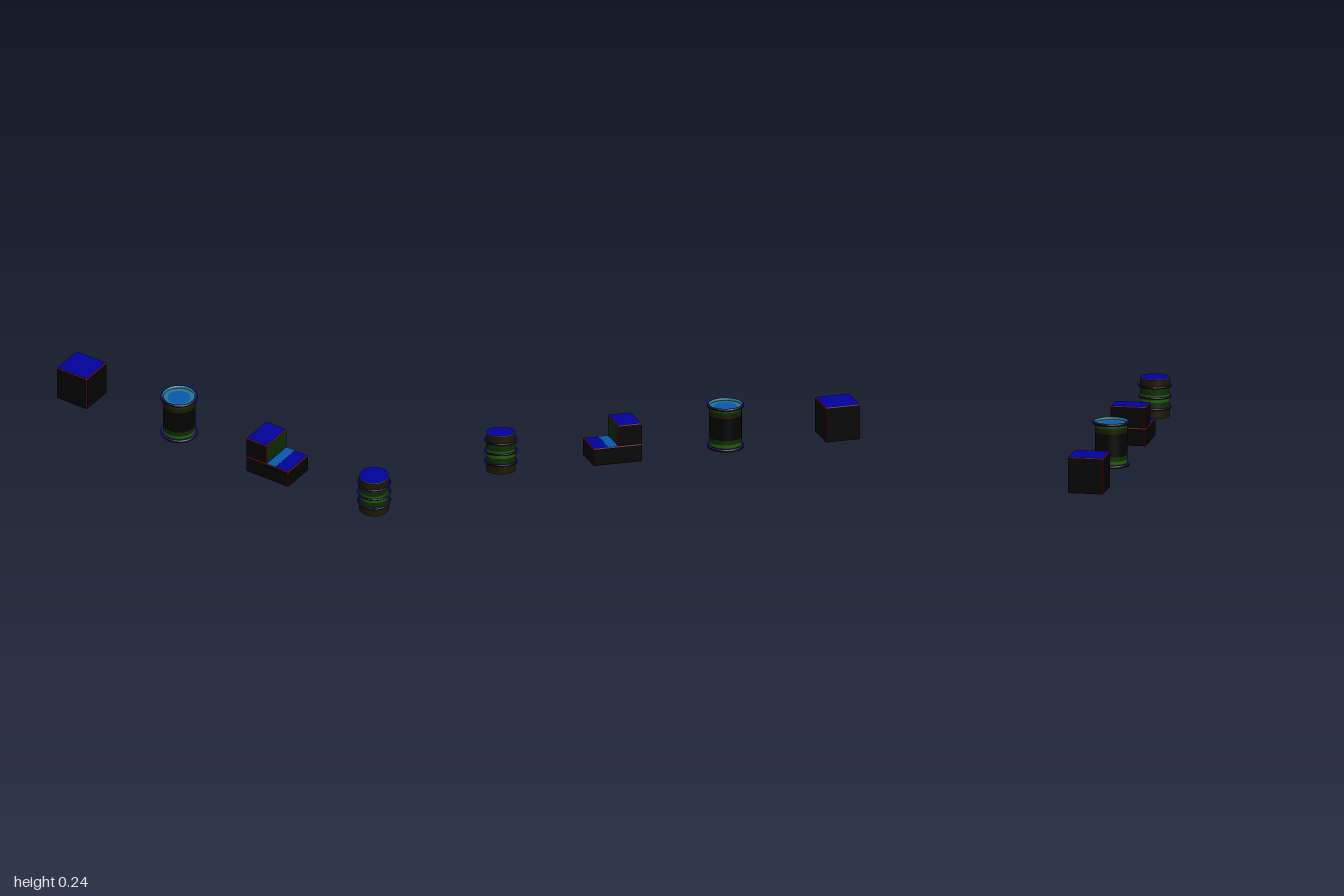
import * as THREE from 'three';
import { ConvexGeometry } from 'three/addons/geometries/ConvexGeometry.js';

function makeMaterial(name, color) {
  const m = new THREE.MeshStandardMaterial({ color });
  m.name = name;
  return m;
}

export function createModel() {
  const black = makeMaterial('black', 0x020202);
  const blue = makeMaterial('deep blue', 0x02029a);
  const lightBlue = makeMaterial('light blue', 0x0858ac);
  const teal = makeMaterial('teal', 0x2a7888);
  const darkGreen = makeMaterial('dark green', 0x0a2a04);
  const green = makeMaterial('green', 0x1e5a04);
  const brown = makeMaterial('olive brown', 0x1e1602);
  const red = makeMaterial('red', 0x8c0202);

  const model = new THREE.Group();
  function makeGroup(name, x) {
    const g = new THREE.Group();
    g.name = name;
    g.position.x = x;
    model.add(g);
    return g;
  }

  // Chamfered box: flat faces, blue top, red bevels
  function crate(parent, name, size, position, rightFace = black) {
    const b = 0.004;
    const half = size.map((s) => s / 2);
    const points = [];
    for (const sx of [-1, 1]) for (const sy of [-1, 1]) for (const sz of [-1, 1]) {
      for (let axis = 0; axis < 3; axis++) {
        const p = [sx, sy, sz].map((s, i) => s * (half[i] - (i === axis ? 0 : b)));
        points.push(new THREE.Vector3(...p));
      }
    }
    const geometry = new ConvexGeometry(points);
    const n = geometry.attributes.normal;
    for (let i = 0; i < n.count; i += 3) {
      let slot = 0;
      if (n.getY(i) > 0.95) slot = 1;
      else if (n.getX(i) > 0.95) slot = 2;
      else if (Math.max(Math.abs(n.getX(i)), Math.abs(n.getY(i)), Math.abs(n.getZ(i))) < 0.95) slot = 3;
      geometry.addGroup(i, 3, slot);
    }
    const mesh = new THREE.Mesh(geometry, [black, blue, rightFace, red]);
    mesh.name = name;
    mesh.position.set(...position);
    parent.add(mesh);
  }

  // Surface of revolution from [radius, height] pairs
  function turned(parent, name, profile, material) {
    const points = profile.map(([r, y]) => new THREE.Vector2(r, y));
    const mesh = new THREE.Mesh(new THREE.LatheGeometry(points, 48), material);
    mesh.name = name;
    parent.add(mesh);
  }

  // Part of a round hoop, between two angles of its section
  function hoop(parent, name, radius, y, tube, from, to, material) {
    const profile = [];
    for (let i = 0; i <= 6; i++) {
      const a = THREE.MathUtils.degToRad(from + ((to - from) * i) / 6);
      profile.push([radius + tube * Math.cos(a), y + tube * Math.sin(a)]);
    }
    turned(parent, name, profile, material);
  }

  // Cube crate
  const cube = makeGroup('cubeCrate', -0.905);
  crate(cube, 'cube', [0.188, 0.19, 0.186], [0, 0.095, 0]);

  // Drum with a rolled rim at each end
  const drum = makeGroup('rimmedDrum', -0.3);
  const drumBands = [
    [0.004, 0.02, darkGreen], [0.02, 0.036, green], [0.036, 0.06, darkGreen], [0.06, 0.18, black],
    [0.18, 0.2, brown], [0.2, 0.212, darkGreen], [0.212, 0.229, green],
  ];
  for (const [y0, y1, m] of drumBands) turned(drum, 'drumBand', [[0.084, y0], [0.084, y1]], m);
  for (const [name, y] of [['bottomRim', 0.008], ['topRim', 0.229]]) {
    hoop(drum, name + 'Lower', 0.0885, y, 0.008, -140, -40, red);
    hoop(drum, name + 'Outer', 0.0885, y, 0.008, -40, 45, black);
    hoop(drum, name + 'Edge', 0.0885, y, 0.008, 45, 58, red);
    hoop(drum, name + 'Upper', 0.0885, y, 0.008, 58, 110, blue);
    hoop(drum, name + 'Inner', 0.0885, y, 0.008, 110, 220, teal);
  }
  turned(drum, 'lidEdge', [[0.085, 0.223], [0.06, 0.223]], teal);
  turned(drum, 'lid', [[0.06, 0.223], [0, 0.223]], lightBlue);
  turned(drum, 'drumBase', [[0, 0.003], [0.088, 0.003]], brown);

  // Stepped pair of crates
  const step = makeGroup('steppedCrates', 0.31);
  crate(step, 'lowerCrate', [0.262, 0.094, 0.187], [0, 0.047, 0]);
  crate(step, 'upperCrate', [0.128, 0.113, 0.187], [-0.067, 0.1505, 0], darkGreen);
  const strip = new THREE.Mesh(new THREE.BoxGeometry(0.052, 0.002, 0.182), lightBlue);
  strip.name = 'stepStrip';
  strip.position.set(0.023, 0.094, 0);
  step.add(strip);

  // Ribbed barrel
  const barrel = makeGroup('ribbedBarrel', 0.912);
  const barrelBands = [
    [0, 0.05, brown], [0.05, 0.084, darkGreen], [0.084, 0.122, green],
    [0.122, 0.163, darkGreen], [0.163, 0.205, brown],
  ];
  for (const [y0, y1, m] of barrelBands) turned(barrel, 'barrelBand', [[0.077, y0], [0.077, y1]], m);
  for (const y of [0.049, 0.107, 0.163]) {
    hoop(barrel, 'ribLower', 0.082, y, 0.0055, -150, -45, red);
    hoop(barrel, 'ribOuter', 0.082, y, 0.0055, -45, 45, black);
    hoop(barrel, 'ribEdge', 0.082, y, 0.0055, 45, 60, red);
    hoop(barrel, 'ribUpper', 0.082, y, 0.0055, 60, 160, blue);
  }
  turned(barrel, 'barrelEdge', [[0.077, 0.205], [0.075, 0.207]], teal);
  turned(barrel, 'barrelTop', [[0.075, 0.207], [0, 0.207]], blue);
  turned(barrel, 'barrelBase', [[0, 0], [0.077, 0]], black);

  return model;
}
